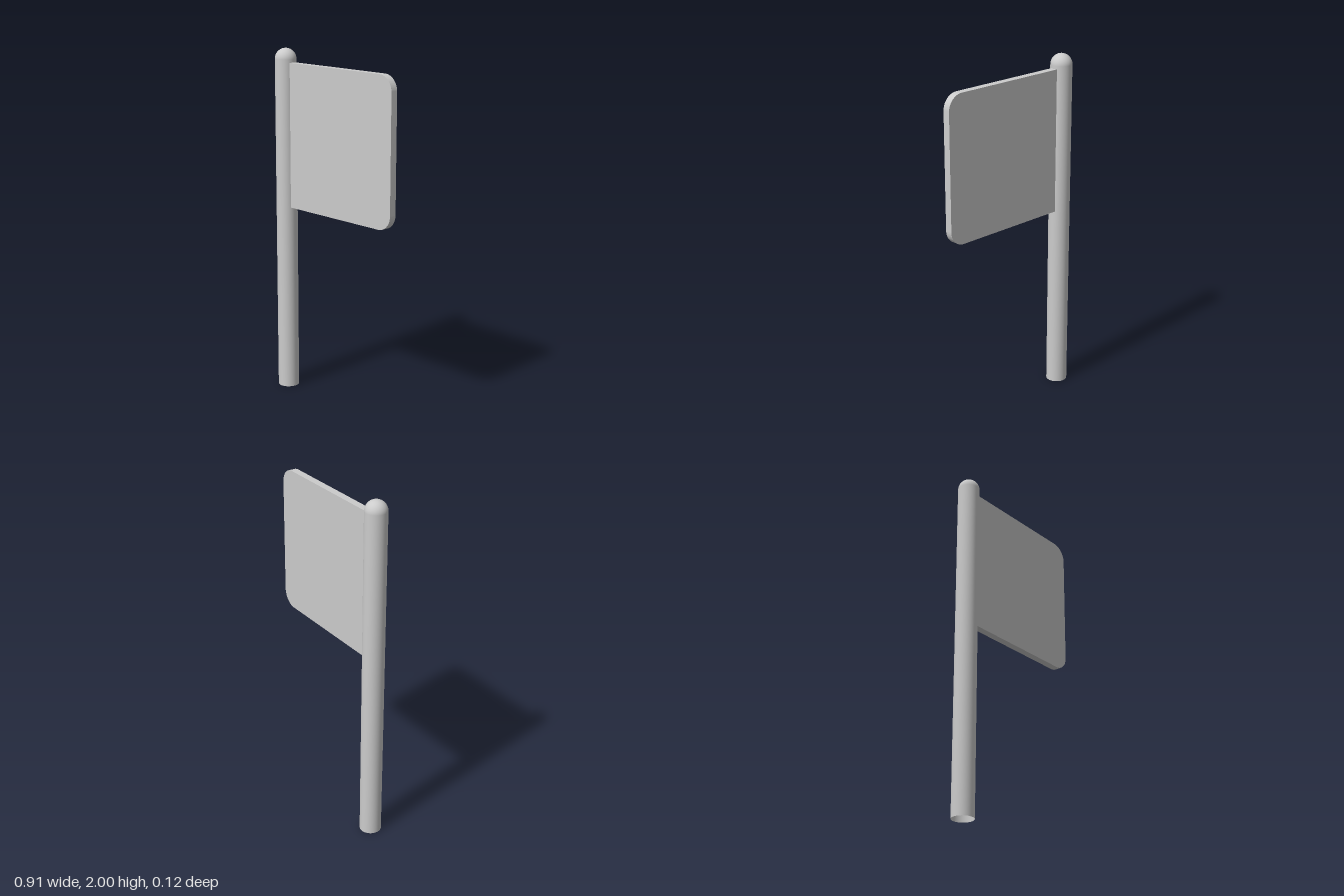
import * as THREE from 'three';
import { toCreasedNormals } from 'three/addons/utils/BufferGeometryUtils.js';

const POLE_X = -0.392, POLE_R = 0.061, HEIGHT = 2;

// Hollow tube, open at the foot, closed by a hemispherical top
function createPole(material) {
  const profile = [new THREE.Vector2(POLE_R, 0)];
  const steps = 12;
  for (let i = 0; i <= steps; i++) {
    const a = (i / steps) * Math.PI / 2;
    profile.push(new THREE.Vector2(
      i === steps ? 0 : POLE_R * Math.cos(a),
      HEIGHT - POLE_R + POLE_R * Math.sin(a)
    ));
  }
  const pole = new THREE.Mesh(new THREE.LatheGeometry(profile, 48), material);
  pole.name = 'pole';
  pole.position.x = POLE_X;
  return pole;
}

// Flat panel with its two outer corners rounded
function createFlag(material) {
  const left = -0.345, right = 0.453, bottom = 1.095, top = 1.922;
  const r = 0.088, thickness = 0.042;
  const shape = new THREE.Shape();
  shape.moveTo(left, bottom);
  shape.lineTo(right - r, bottom);
  shape.absarc(right - r, bottom + r, r, -Math.PI / 2, 0, false);
  shape.lineTo(right, top - r);
  shape.absarc(right - r, top - r, r, 0, Math.PI / 2, false);
  shape.lineTo(left, top);
  shape.closePath();

  const geometry = new THREE.ExtrudeGeometry(shape, {
    depth: thickness, bevelEnabled: false, curveSegments: 12
  });
  geometry.translate(0, 0, -thickness / 2);
  const flag = new THREE.Mesh(toCreasedNormals(geometry, Math.PI / 6), material);
  flag.name = 'flag';
  return flag;
}

export function createModel() {
  const model = new THREE.Group();
  model.name = 'flagOnPole';
  const solid = new THREE.MeshStandardMaterial({ color: 0xcccccc });
  const open = new THREE.MeshStandardMaterial({ color: 0xcccccc, side: THREE.DoubleSide });
  model.add(createPole(open), createFlag(solid));
  return model;
}
